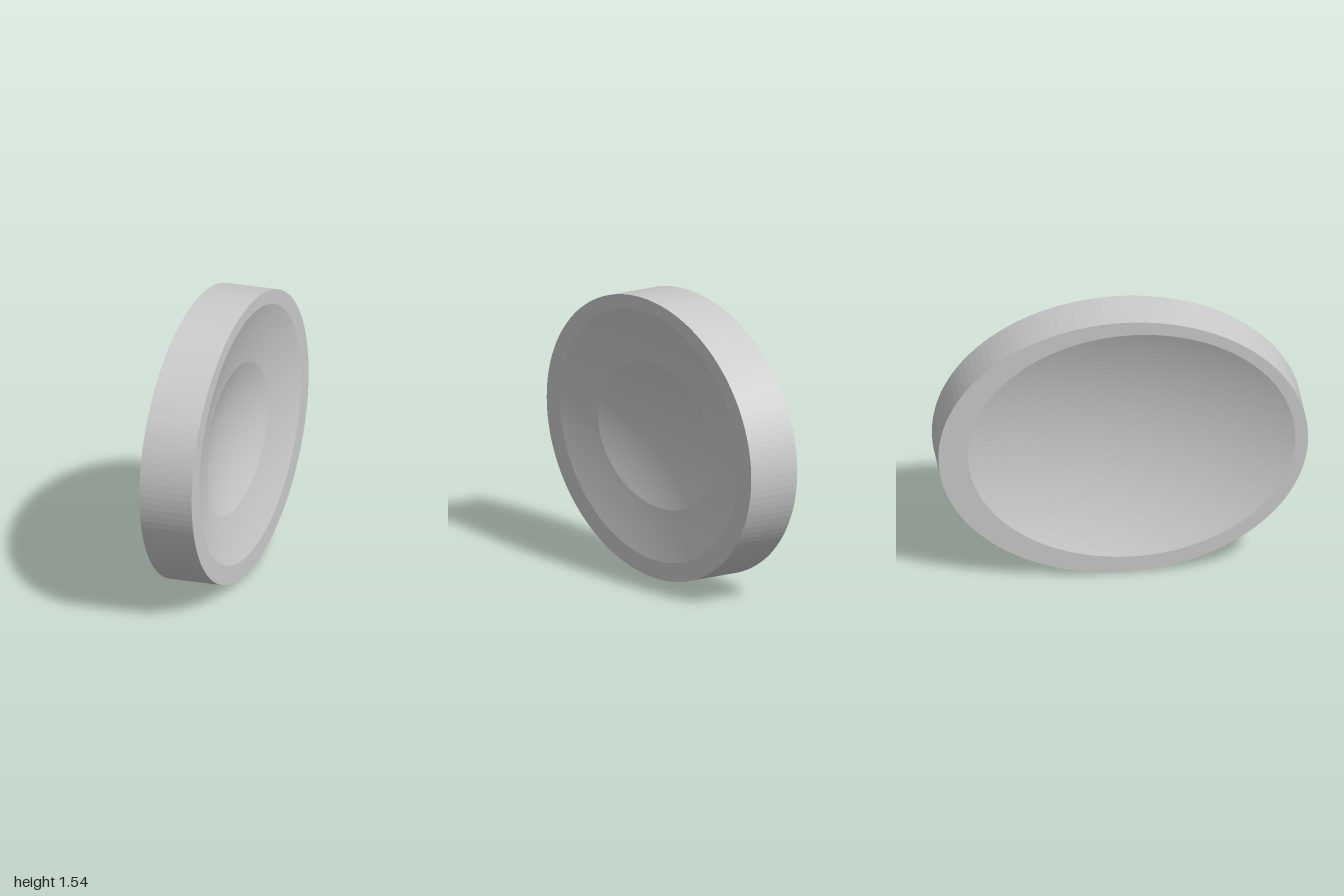
import * as THREE from 'three';

const SEG = 128;
const HALF = 0.148; // half thickness
const CY = 0.768; // height of the disc centre

const rim = { z: 0, y: CY, hz: 1, hy: 0.768 };
const dish = { z: 0, y: 0.782, hz: 0.868, hy: 0.683 };
const dimple = { z: 0.035, y: 0.76, hz: 0.555, hy: 0.395 };
const backDish = { z: 0.045, y: 0.775, hz: 0.885, hy: 0.682 };

// Blend of two ellipses
const mix = (a, b, t) => Object.fromEntries(Object.keys(a).map((k) => [k, a[k] + (b[k] - a[k]) * t]));

// Depth profile of a shallow dish, zero outside its edge
const dip = (e, depth, z, y) =>
  depth * Math.max(0, 1 - ((z - e.z) / e.hz) ** 2 - ((y - e.y) / e.hy) ** 2);

const leftX = (z, y) => HALF - dip(dish, 0.11, z, y) - dip(dimple, 0.042, z, y);
const rightX = (z, y) => -HALF + dip(backDish, 0.14, z, y);

// Skin through a list of [ellipse, x rule] rings
function skin(name, rings, material) {
  const pos = [], index = [];
  rings.forEach(([e, fx], i) => {
    for (let j = 0; j < SEG; j++) {
      const a = (j / SEG) * Math.PI * 2;
      const z = e.z - e.hz * Math.cos(a), y = e.y + e.hy * Math.sin(a);
      pos.push(fx(z, y), y, z);
      if (i === rings.length - 1) continue;
      const k = (j + 1) % SEG;
      const p = i * SEG + j, q = i * SEG + k, r = p + SEG, s = q + SEG;
      index.push(p, r, s, p, s, q);
    }
  });
  const g = new THREE.BufferGeometry();
  g.setAttribute('position', new THREE.Float32BufferAttribute(pos, 3));
  g.setIndex(index);
  g.computeVertexNormals();
  const mesh = new THREE.Mesh(g, material);
  mesh.name = name;
  return mesh;
}

export function createModel() {
  const group = new THREE.Group();
  group.name = 'dishedDisc';
  const mat = new THREE.MeshStandardMaterial({ color: 0xcccccc, flatShading: true });
  const centre = (e) => ({ ...e, hz: 0.001, hy: 0.001 });
  const steps = (a, b, n, fx) => Array.from({ length: n + 1 }, (_, i) => [mix(a, b, i / n), fx]);

  // Left face: central dimple, wider dish and flat rim
  group.add(skin('dimple', steps(centre(dimple), dimple, 12, leftX), mat));
  group.add(skin('leftDish', steps(dimple, dish, 10, leftX), mat));
  group.add(skin('leftRim', [[dish, () => HALF], [rim, () => HALF]], mat));

  // Outer wall
  group.add(skin('outerWall', [[rim, () => HALF], [rim, () => -HALF]], mat));

  // Right face: flat rim and one plain dish
  group.add(skin('rightRim', [[rim, () => -HALF], [backDish, () => -HALF]], mat));
  group.add(skin('rightDish', steps(backDish, centre(backDish), 20, rightX), mat));
  return group;
}
